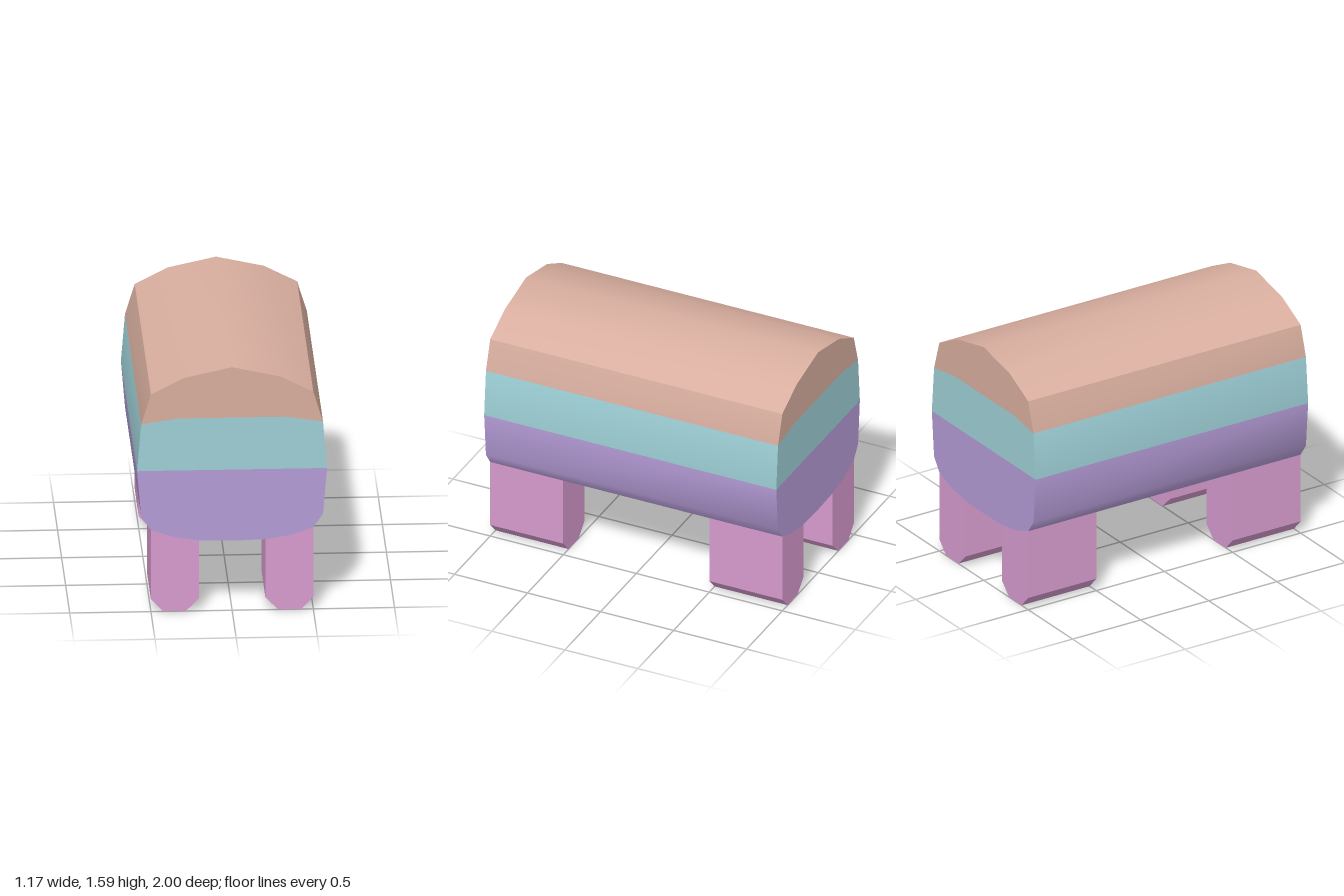
import * as THREE from 'three';
import { toCreasedNormals } from 'three/addons/utils/BufferGeometryUtils.js';

const mat = (name, color) => {
  const m = new THREE.MeshStandardMaterial({ color });
  m.name = name;
  return m;
};

// Right half of the body outline, from bottom centre to top centre
const HALF = [
  [0, 0.455], [0.205, 0.461], [0.36, 0.485], [0.5, 0.535], [0.56, 0.62],
  [0.585, 0.92], [0.56, 1.225], [0.5, 1.42], [0.295, 1.525], [0, 1.59],
];
const mirror = (pts) => pts.map(([x, y]) => [-x, y]).reverse();
const toShape = (pts) => new THREE.Shape(pts.map(([x, y]) => new THREE.Vector2(x, y)));

// Long walls of the body: one material group per outline segment
function wallGeometry() {
  const loop = [...HALF, ...mirror(HALF).slice(1, -1)];
  const pos = [];
  const geo = new THREE.BufferGeometry();
  loop.forEach(([ax, ay], i) => {
    const [bx, by] = loop[(i + 1) % loop.length];
    pos.push(ax, ay, 1, bx, by, -1, bx, by, 1);
    pos.push(ax, ay, 1, ax, ay, -1, bx, by, -1);
    const mid = (ay + by) / 2;
    geo.addGroup(i * 6, 6, mid < 0.92 ? 0 : mid < 1.225 ? 1 : 2);
  });
  geo.setAttribute('position', new THREE.Float32BufferAttribute(pos, 3));
  return toCreasedNormals(geo, THREE.MathUtils.degToRad(34));
}

export function createModel() {
  const model = new THREE.Group();
  model.name = 'bandedBarrelOnLegs';
  const purple = mat('lavender', 0xb49bd6);
  const teal = mat('paleTeal', 0x9dcfd6);
  const tan = mat('dustyTan', 0xd8ae9f);
  const pink = mat('orchidPink', 0xd69bce);

  const add = (name, geo, material) => {
    const mesh = new THREE.Mesh(geo, material);
    mesh.name = name;
    model.add(mesh);
    return mesh;
  };

  // Body
  add('bodyWalls', wallGeometry(), [purple, teal, tan]);

  // Flat ends, one face per colour band; the seam under the top band is bent
  const seam = [0.33, 1.26];
  const bands = [
    ['lowerBand', HALF.slice(0, 6), purple],
    ['middleBand', [[0, 0.92], HALF[5], HALF[6], seam, [0, 1.26]], teal],
    ['upperBand', [[0, 1.26], seam, ...HALF.slice(6)], tan],
  ];
  for (const [name, half, material] of bands) {
    const outline = [...half, ...mirror(half)].filter(
      ([x], i, all) => x !== 0 || i < all.length / 2);
    const geo = new THREE.ShapeGeometry(toShape(outline));
    add(name + 'Front', geo, material).position.z = 1;
    const back = add(name + 'Back', geo, material);
    back.position.z = -1;
    back.rotation.y = Math.PI;
  }

  // Legs with chamfered feet, their tops following the belly
  const leg = [
    [0.285, 0], [0.425, 0], [0.5, 0.08], [0.5, 0.535],
    [0.36, 0.485], [0.205, 0.461], [0.205, 0.08],
  ];
  for (const side of [1, -1]) {
    const geo = new THREE.ExtrudeGeometry(toShape(side > 0 ? leg : mirror(leg)),
      { depth: 0.5, bevelEnabled: false });
    for (const [end, z] of [['front', 0.5], ['back', -1]]) {
      add(end + (side > 0 ? 'Left' : 'Right') + 'Leg', geo, pink).position.z = z;
    }
  }
  return model;
}
